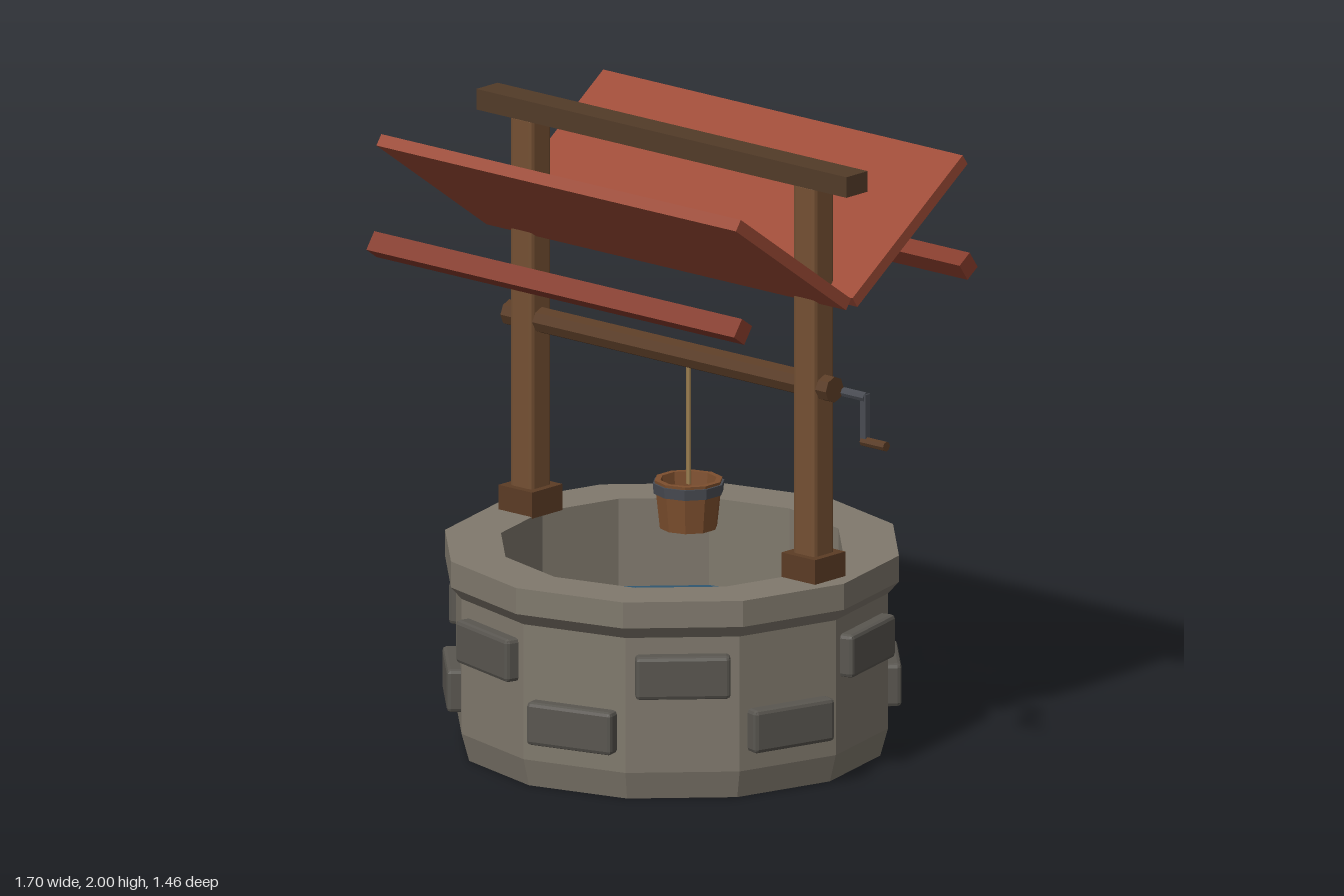
import * as THREE from 'three';
import { RoundedBoxGeometry } from 'three/addons/geometries/RoundedBoxGeometry.js';

const CX = -0.065; // centre of the well
const SIDES = 12;

function material(color, side = THREE.FrontSide) {
  return new THREE.MeshStandardMaterial({ color, flatShading: true, side });
}

export function createModel() {
  const root = new THREE.Group();
  const mats = {
    stone: material(0x80796d),
    block: material(0x595650),
    water: material(0x2f5670),
    post: material(0x745033),
    foot: material(0x5c3c25),
    ridge: material(0x523b28),
    axle: material(0x5a3c26),
    roof: material(0x9c4a36),
    eave: material(0x843a2a),
    bucket: material(0x7d4f2e),
    iron: material(0x484b52),
    rope: material(0x9a7d4f),
  };

  function add(name, geometry, mat, x, y, z, parent = root) {
    const mesh = new THREE.Mesh(geometry, mats[mat]);
    mesh.name = name;
    mesh.position.set(x, y, z);
    parent.add(mesh);
    return mesh;
  }
  const box = (w, h, d) => new THREE.BoxGeometry(w, h, d);
  const lathe = (points, sides) =>
    new THREE.LatheGeometry(points.map(([r, y]) => new THREE.Vector2(r, y)), sides);
  const rodX = (radius, length, sides) =>
    new THREE.CylinderGeometry(radius, radius, length, sides).rotateZ(Math.PI / 2);

  // Stone ring with a flared rim and a hollow shaft
  add('wellWall', lathe([
    [0, 0], [0.67, 0], [0.695, 0.09], [0.695, 0.53], [0.73, 0.57],
    [0.73, 0.655], [0.55, 0.655], [0.55, 0.3], [0, 0.3],
  ], SIDES), 'stone', CX, 0, 0);
  add('water', new THREE.CylinderGeometry(0.55, 0.55, 0.04, SIDES), 'water', CX, 0.35, 0);

  // Two staggered rows of raised blocks, one on each wall face
  const blocks = new THREE.Group();
  blocks.name = 'wallBlocks';
  root.add(blocks);
  for (let i = 0; i < SIDES; i++) {
    const angle = THREE.MathUtils.degToRad(15 + 30 * i);
    const y = i % 2 === 0 ? 0.22 : 0.406;
    const block = add('wallBlock', new RoundedBoxGeometry(0.3, 0.14, 0.08, 1, 0.013), 'block',
      CX + Math.sin(angle) * 0.676, y, Math.cos(angle) * 0.676, blocks);
    block.rotation.y = angle;
  }

  // Posts and their feet
  for (const side of [-1, 1]) {
    const x = CX + side * 0.6;
    add('post', new RoundedBoxGeometry(0.095, 1.3, 0.095, 1, 0.014), 'post', x, 1.295, 0);
    add('postFoot', box(0.142, 0.085, 0.142), 'foot', x, 0.6925, 0);
  }

  // Roof: ridge beam, two panels and two eave beams
  add('ridgeBeam', box(1.57, 0.067, 0.1), 'ridge', CX, 1.9665, 0);
  const tilt = THREE.MathUtils.degToRad(35);
  for (const side of [-1, 1]) {
    const panel = add('roofPanel', box(1.525, 0.04, 0.63), 'roof', CX, 1.755, side * 0.273);
    panel.rotation.x = -side * tilt;
    const eave = add('eaveBeam', box(1.56, 0.065, 0.058), 'eave', CX, 1.592, side * 0.528);
    eave.rotation.x = -side * tilt;
  }

  // Winding axle
  add('axle', rodX(0.042, 1.38, 8), 'axle', CX, 1.28, 0);

  // Crank
  const crank = new THREE.Group();
  crank.name = 'crank';
  root.add(crank);
  add('crankShaft', rodX(0.016, 0.095, 8), 'iron', 0.712, 1.28, 0, crank);
  add('crankArm', box(0.022, 0.165, 0.022), 'iron', 0.754, 1.208, 0, crank);
  add('crankHandle', rodX(0.016, 0.1, 8), 'axle', 0.795, 1.135, 0, crank);

  // Rope and open bucket with an iron band
  add('rope', new THREE.CylinderGeometry(0.008, 0.008, 0.4, 6), 'rope', 0.005, 1.06, 0);
  add('bucket', lathe([
    [0, 0.72], [0.092, 0.72], [0.109, 0.877], [0.09, 0.877], [0.076, 0.745], [0, 0.745],
  ], 10), 'bucket', 0.005, 0, 0);
  add('bucketBand', lathe([
    [0.1, 0.834], [0.112, 0.834], [0.115, 0.868], [0.1, 0.868],
  ], 10), 'iron', 0.005, 0, 0);

  return root;
}
